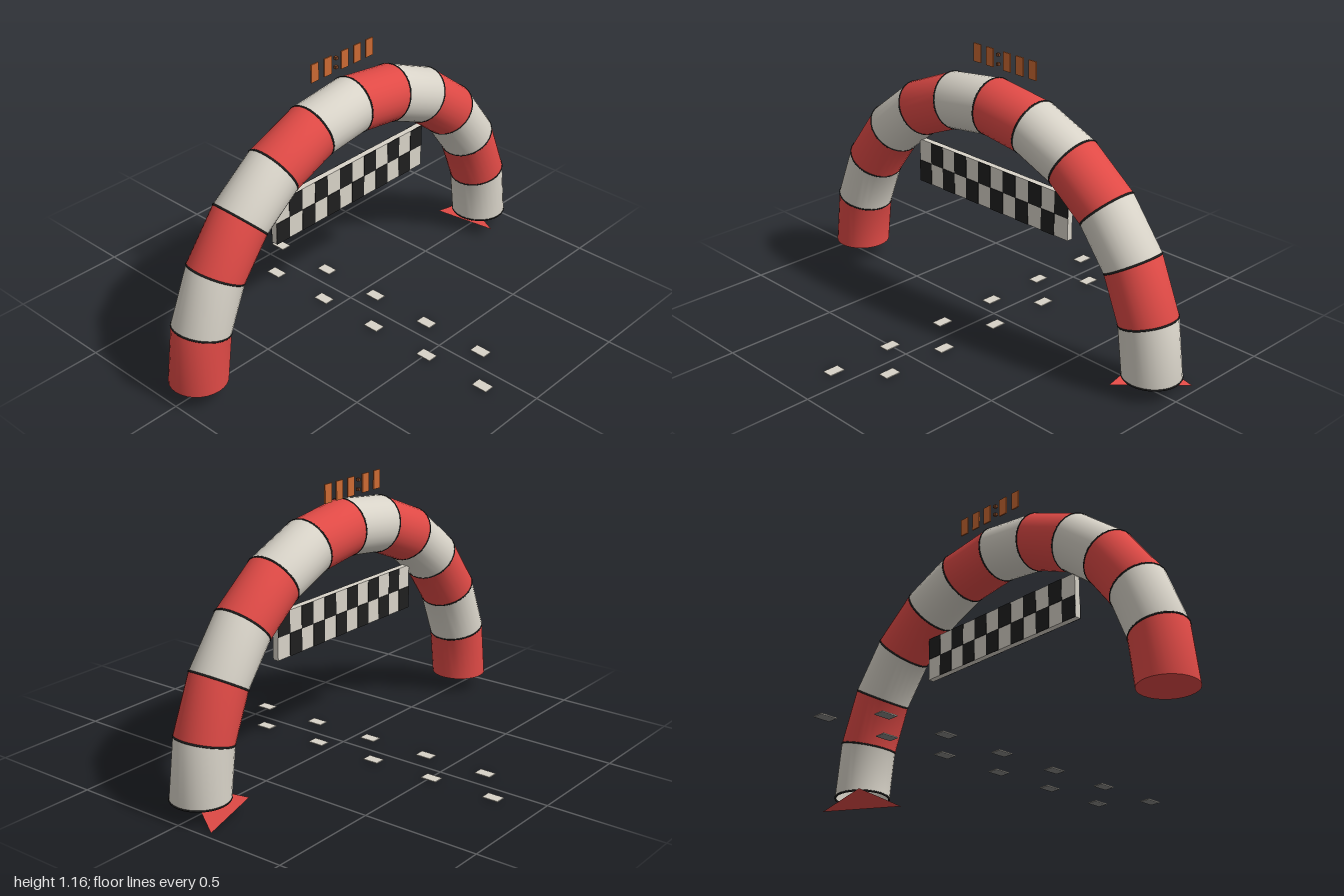
import * as THREE from 'three';

const mat = (name, color, side = THREE.FrontSide) => {
  const m = new THREE.MeshStandardMaterial({ color, side });
  m.name = name;
  return m;
};

export function createModel() {
  const red = mat('red', 0xe04a46, THREE.DoubleSide);
  const white = mat('offWhite', 0xd8d3c8, THREE.DoubleSide);
  const black = mat('black', 0x1f1f1f);
  const orange = mat('orange', 0xcc6a33);
  const brown = mat('brown', 0x7a4426);
  const grey = mat('grey', 0x858583);

  const model = new THREE.Group();
  model.name = 'finishArch';
  const add = (parent, name, geometry, material, x = 0, y = 0, z = 0) => {
    const mesh = new THREE.Mesh(geometry, material);
    mesh.name = name;
    mesh.position.set(x, y, z);
    parent.add(mesh);
    return mesh;
  };
  const group = (name) => {
    const g = new THREE.Group();
    g.name = name;
    model.add(g);
    return g;
  };

  // Inflatable arch: twelve straight mitred tube sections, with dark seams
  const R = 0.876, r = 0.12, count = 12, step = Math.PI / count;
  const arch = group('arch');
  arch.position.y = 0.07;
  const sectionGeo = new THREE.TorusGeometry(R, r, 28, 1, step);
  const seamGeo = new THREE.TorusGeometry(r - 0.002, 0.0045, 6, 28);
  for (let i = 0; i < count; i++) {
    const section = add(arch, 'archSection', sectionGeo, i % 2 ? red : white);
    section.rotation.z = i * step;
    const a = i * step;
    const pivot = new THREE.Group();
    pivot.name = 'seamPivot';
    pivot.rotation.z = a;
    arch.add(pivot);
    add(pivot, 'seam', seamGeo, black, R).rotation.x = Math.PI / 2;
  }
  // Closed foot on one side, loose flap under the open one
  add(arch, 'footCap', new THREE.CircleGeometry(r, 28), red, -R).rotation.x = Math.PI / 2;
  const flap = new THREE.BufferGeometry();
  flap.setAttribute('position', new THREE.Float32BufferAttribute(
    [0.74, 0.057, -0.125, 0.79, 0.05, 0.15, 0.97, 0.002, -0.14], 3));
  flap.computeVertexNormals();
  add(model, 'footFlap', flap, red);

  // Hanging chequered banner, dark tiles on both faces
  const banner = group('banner');
  const x0 = -0.443, y0 = 0.495, cols = 12, w = 0.873 / cols, h = 0.096, depth = 0.026;
  add(banner, 'bannerPanel', new THREE.BoxGeometry(w * cols, h * 2, depth), white,
    x0 + w * cols / 2, y0 + h);
  const tileGeo = new THREE.BoxGeometry(w, h, 0.004);
  for (let i = 0; i < cols; i++) {
    for (const z of [-depth / 2, depth / 2]) {
      add(banner, 'darkTile', tileGeo, black, x0 + (i + 0.5) * w, y0 + (i % 2 + 0.5) * h, z);
    }
  }

  // Clock panels with a two-dot divider
  const clock = group('clock');
  const panelGeo = new THREE.BoxGeometry(0.041, 0.078, 0.006);
  for (const x of [-0.15, -0.076, 0.021, 0.093, 0.165]) {
    add(clock, 'clockPanel', panelGeo, orange, x, 1.126, -0.053);
  }
  const dotGeo = new THREE.BoxGeometry(0.014, 0.012, 0.014);
  for (const y of [1.106, 1.146]) add(clock, 'clockDot', dotGeo, brown, -0.029, y, -0.053);

  // Staggered ground markers, darker underneath
  const markers = group('groundMarkers');
  const markerGeo = new THREE.BoxGeometry(0.046, 0.004, 0.07);
  const markerMats = [white, white, white, grey, white, white];
  for (let i = 0; i < 12; i++) {
    add(markers, 'groundMarker', markerGeo, markerMats,
      i % 2 ? -0.09 : 0.08, 0.008, -0.803 + i * 0.1457);
  }
  return model;
}
